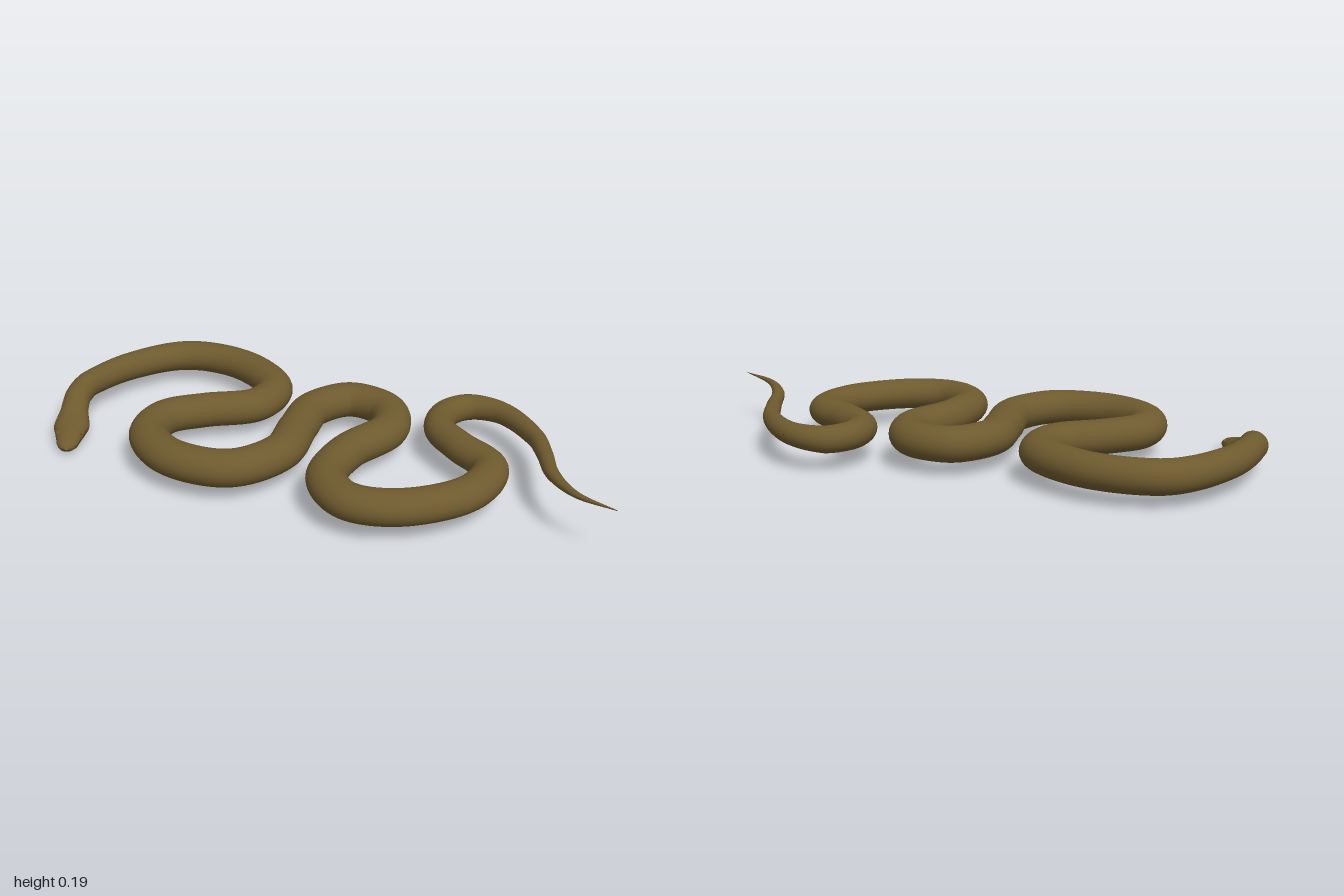
import * as THREE from 'three';

// Winding of the spine seen from above, snout to tail tip: x, z
const PATH = [
  [-0.93, -0.01], [-0.93, -0.12], [-0.93, -0.22], [-0.922, -0.33], [-0.89, -0.42],
  [-0.74, -0.61], [-0.5, -0.733], [-0.265, -0.63], [-0.124, -0.38], [-0.2, -0.225],
  [-0.4, -0.18], [-0.55, -0.12], [-0.603, 0.03], [-0.51, 0.22], [-0.29, 0.313],
  [-0.11, 0.2], [-0.035, -0.01], [0.03, -0.17], [0.18, -0.252], [0.315, -0.15],
  [0.31, 0.02], [0.14, 0.2], [0.055, 0.4], [0.12, 0.565], [0.29, 0.617],
  [0.54, 0.53], [0.645, 0.35], [0.56, 0.18], [0.504, 0.03], [0.545, -0.1],
  [0.64, -0.155], [0.755, -0.09], [0.845, 0.13], [0.85, 0.3], [0.842, 0.48],
  [0.885, 0.65], [0.99, 0.785],
];

// Thickness along the spine: position in PATH, height, half width, half height
const PROFILE = [
  [0, 0.034, 0.002, 0.002], [0.1, 0.035, 0.026, 0.016], [0.3, 0.037, 0.04, 0.025],
  [0.8, 0.042, 0.052, 0.034], [1.5, 0.05, 0.07, 0.043], [1.9, 0.058, 0.066, 0.045],
  [2.4, 0.08, 0.054, 0.045], [3, 0.108, 0.052, 0.05], [4, 0.122, 0.052, 0.052],
  [6, 0.111, 0.067, 0.062], [8, 0.112, 0.074, 0.065], [14, 0.121, 0.078, 0.068],
  [20, 0.119, 0.075, 0.067], [24, 0.126, 0.074, 0.063], [28, 0.125, 0.06, 0.056],
  [30, 0.126, 0.053, 0.051], [32, 0.14, 0.035, 0.037], [34, 0.17, 0.025, 0.022],
  [36, 0.2, 0.001, 0.001],
];

const END = PATH.length - 1;
const spine = new THREE.CatmullRomCurve3(PATH.map(([x, z]) => new THREE.Vector3(x, 0, z)));

// Column c of the profile at spine position u
function profileAt(u, c) {
  const k = Math.max(1, PROFILE.findIndex((row) => row[0] >= u));
  const a = PROFILE[k - 1], b = PROFILE[k];
  return THREE.MathUtils.lerp(a[c], b[c], (u - a[0]) / (b[0] - a[0]));
}

function centreAt(u) {
  const v = THREE.MathUtils.clamp(u, 0, END);
  return spine.getPoint(v / END).setY(profileAt(v, 1));
}

// Sweeps elliptical rings along the spine
function sweepBody(steps, sides) {
  const up = new THREE.Vector3(0, 1, 0);
  const position = [], index = [];
  const rings = END * steps;
  for (let i = 0; i <= rings; i++) {
    const u = i / steps;
    const p = centreAt(u);
    const t = centreAt(u + 0.15).sub(centreAt(u - 0.15)).normalize();
    const side = new THREE.Vector3().crossVectors(up, t).normalize();
    const top = new THREE.Vector3().crossVectors(t, side);
    const rx = profileAt(u, 2), ry = profileAt(u, 3);
    for (let j = 0; j < sides; j++) {
      const a = (j / sides) * Math.PI * 2;
      // shallow mouth crease along both sides of the head
      const crease = u > 0 && u < 1.4 && (j === sides - 1 || j === sides / 2 + 1) ? 0.9 : 1;
      const v = p.clone()
        .addScaledVector(side, Math.cos(a) * rx * crease)
        .addScaledVector(top, Math.sin(a) * ry * crease);
      position.push(v.x, v.y, v.z);
      if (i < rings) {
        const n = (j + 1) % sides, r = i * sides, q = r + sides;
        index.push(r + j, r + n, q + j, r + n, q + n, q + j);
      }
    }
  }
  const geometry = new THREE.BufferGeometry();
  geometry.setAttribute('position', new THREE.Float32BufferAttribute(position, 3));
  geometry.setIndex(index);
  geometry.computeVertexNormals();
  return geometry;
}

export function createModel() {
  const group = new THREE.Group();
  group.name = 'snake';
  const skin = new THREE.MeshStandardMaterial({ color: 0x6e5a2e });
  skin.name = 'olive brown skin';

  // Head, coiling body and tail as one continuous skin
  const body = new THREE.Mesh(sweepBody(10, 28), skin);
  body.name = 'body';
  group.add(body);

  // Small eye bumps
  for (const s of [-1, 1]) {
    const eye = new THREE.Mesh(new THREE.SphereGeometry(0.01, 12, 8), skin);
    eye.name = s > 0 ? 'leftEye' : 'rightEye';
    eye.position.set(-0.93 + s * 0.042, 0.06, -0.1);
    group.add(eye);
  }
  return group;
}
